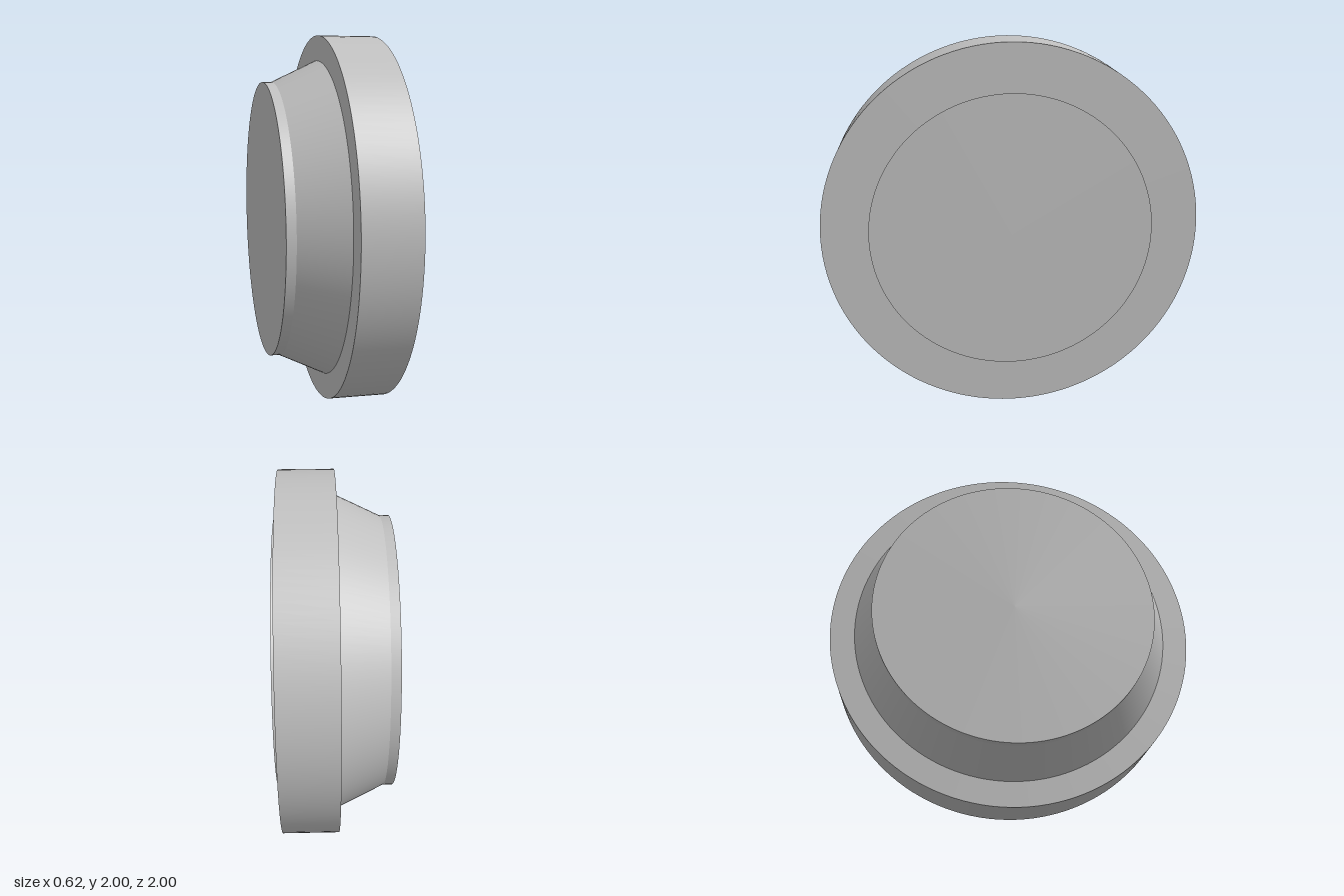
import * as THREE from 'three';

const SEGMENTS = 128;

export function createModel() {
  const group = new THREE.Group();
  group.name = 'flangedPlug';
  const grey = new THREE.MeshStandardMaterial({ color: 0xc0c0c0 });
  grey.name = 'grey';

  // A round section along x, from x0 (radius r0) to x1 (radius r1)
  const addSection = (name, x0, r0, x1, r1) => {
    const geometry = new THREE.CylinderGeometry(r1, r0, x1 - x0, SEGMENTS);
    geometry.rotateZ(-Math.PI / 2);
    geometry.translate((x0 + x1) / 2, 1, 0);
    const mesh = new THREE.Mesh(geometry, grey);
    mesh.name = name;
    group.add(mesh);
  };

  addSection('endCollar', -0.31, 0.75, -0.26, 0.75);
  addSection('taperedNeck', -0.26, 0.75, -0.015, 0.866);
  addSection('flange', -0.015, 1, 0.285, 1);
  // Raised face, undercut where it meets the flange
  addSection('raisedFace', 0.285, 0.738, 0.31, 0.75);

  return group;
}
